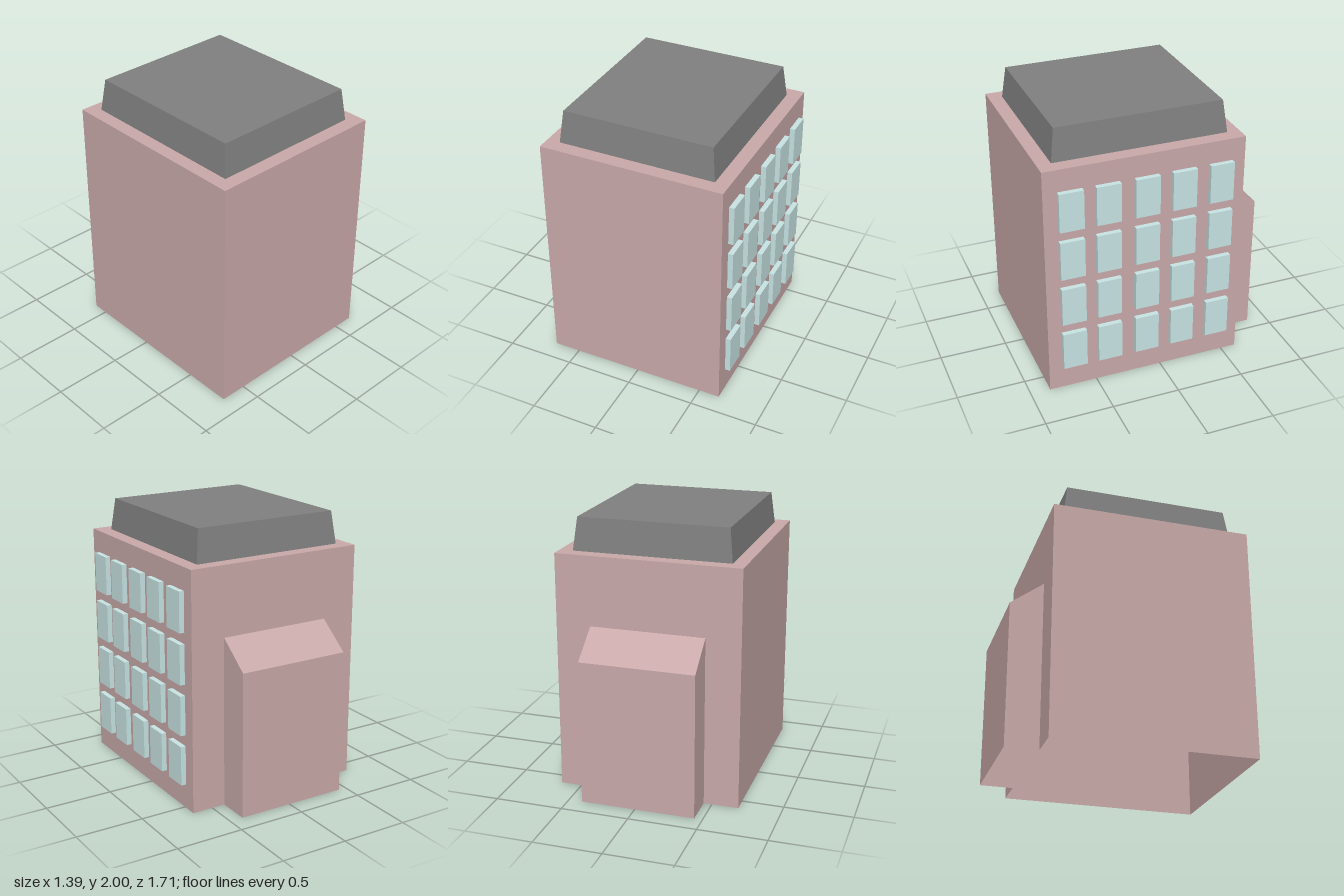
import * as THREE from 'three';

const brick = new THREE.MeshStandardMaterial({ color: 0xc9a9a9, side: THREE.DoubleSide, flatShading: true });
const glass = new THREE.MeshStandardMaterial({ color: 0xc8e4e4, flatShading: true });
const slate = new THREE.MeshStandardMaterial({ color: 0x808080, flatShading: true });

// Main block and rear annex extents
const L = 0.655, R = -0.695, F = 0.855, B = -0.615, H = 1.76;
const AL = 0.4, AR = -0.44, AB = -0.855, AH = 1.25, AE = 1.065;

function addMesh(parent, name, geometry, material) {
  const mesh = new THREE.Mesh(geometry, material);
  mesh.name = name;
  parent.add(mesh);
  return mesh;
}

// Flat four-cornered wall, corners counter-clockwise seen from outside
function panel(...corners) {
  const g = new THREE.BufferGeometry();
  g.setAttribute('position', new THREE.Float32BufferAttribute(corners.flat(), 3));
  g.setIndex([0, 1, 2, 0, 2, 3]);
  g.computeVertexNormals();
  return g;
}

function createBlock() {
  const block = new THREE.Group();
  block.name = 'mainBlock';
  addMesh(block, 'frontWall', panel([R, 0, F], [L, 0, F], [L, H, F], [R, H, F]), brick);
  addMesh(block, 'leftWall', panel([L, 0, F], [L, 0, B], [L, H, B], [L, H, F]), brick);
  addMesh(block, 'rightWall', panel([R, 0, B], [R, 0, F], [R, H, F], [R, H, B]), brick);
  addMesh(block, 'roofDeck', panel([R, H, F], [L, H, F], [L, H, B], [R, H, B]), brick);

  // Back wall, notched where it opens into the annex (drawn mirrored, then turned around)
  const outline = [[-L, 0], [-AL, 0], [-AL, AH], [-AR, AH], [-AR, 0], [-R, 0], [-R, H], [-L, H]];
  const shape = new THREE.Shape(outline.map(([x, y]) => new THREE.Vector2(x, y)));
  const back = addMesh(block, 'backWall', new THREE.ShapeGeometry(shape), brick);
  back.rotation.y = Math.PI;
  back.position.z = B;
  return block;
}

function createAnnex() {
  const annex = new THREE.Group();
  annex.name = 'rearAnnex';
  addMesh(annex, 'annexBackWall', panel([AL, 0, AB], [AR, 0, AB], [AR, AE, AB], [AL, AE, AB]), brick);
  addMesh(annex, 'annexLeftWall', panel([AL, 0, B], [AL, 0, AB], [AL, AE, AB], [AL, AH, B]), brick);
  addMesh(annex, 'annexRightWall', panel([AR, 0, AB], [AR, 0, B], [AR, AH, B], [AR, AE, AB]), brick);
  addMesh(annex, 'annexSlopedRoof', panel([AR, AH, B], [AL, AH, B], [AL, AE, AB], [AR, AE, AB]), brick);
  return annex;
}

// Tapered cap: a box with its upper corners drawn inwards
function createRoofCap() {
  const g = new THREE.BoxGeometry(1.152, 0.238, 1.276).toNonIndexed();
  const p = g.attributes.position;
  for (let i = 0; i < p.count; i++) {
    if (p.getY(i) > 0) {
      p.setX(i, p.getX(i) * 0.953);
      p.setZ(i, p.getZ(i) * 0.953);
    }
  }
  g.computeVertexNormals();
  return g;
}

export function createModel() {
  const model = new THREE.Group();
  model.name = 'building';
  model.add(createBlock(), createAnnex());
  addMesh(model, 'roofCap', createRoofCap(), slate).position.set(-0.022, 1.881, 0.117);

  // Raised windows, four storeys of five
  const windows = new THREE.Group();
  windows.name = 'windows';
  const pane = new THREE.BoxGeometry(0.038, 0.292, 0.177);
  for (const y of [0.33, 0.705, 1.078, 1.451]) {
    for (const z of [0.667, 0.402, 0.119, -0.153, -0.432]) {
      addMesh(windows, 'window', pane, glass).position.set(0.676, y, z);
    }
  }
  model.add(windows);
  return model;
}
